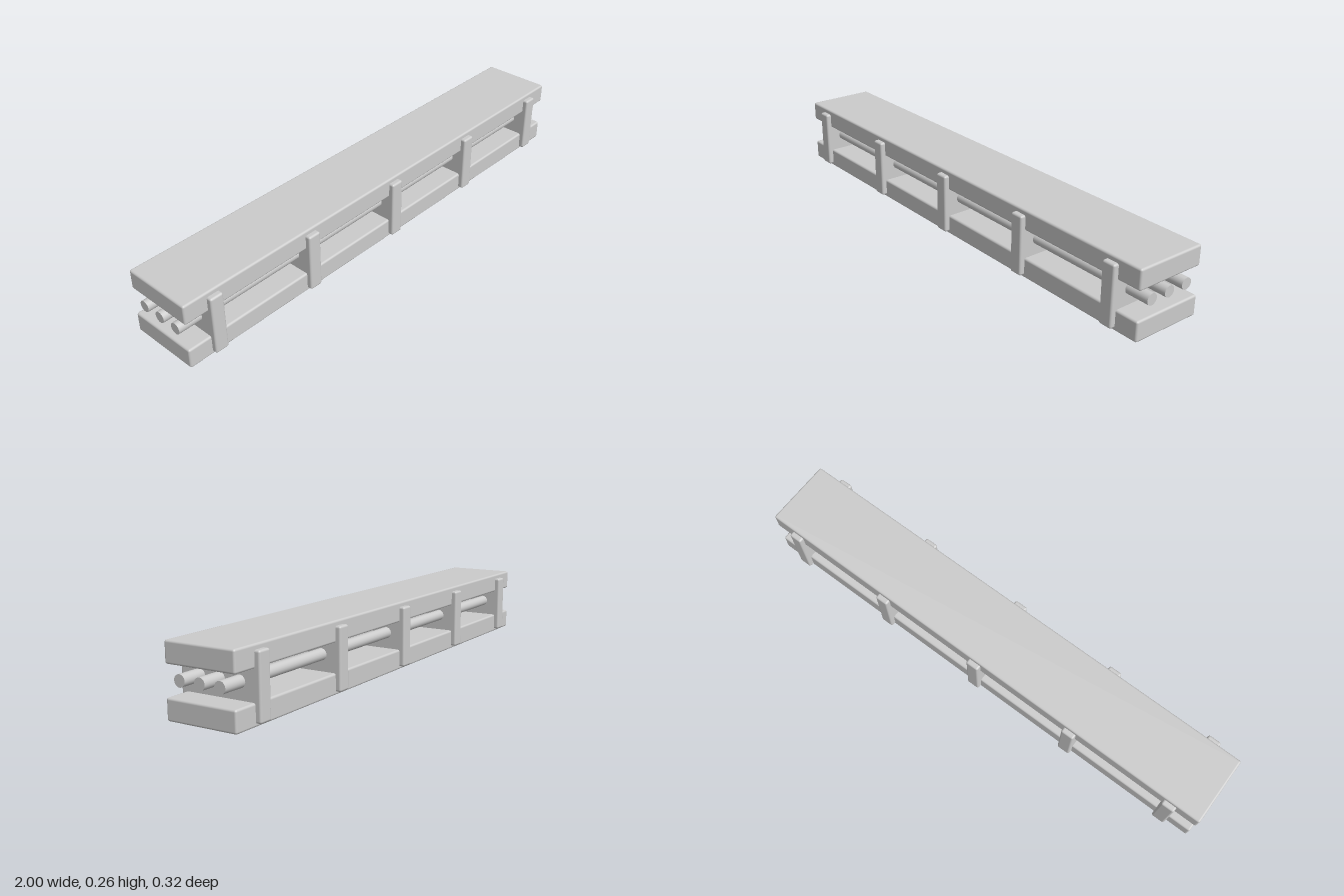
import * as THREE from 'three';
import { RoundedBoxGeometry } from 'three/addons/geometries/RoundedBoxGeometry.js';

export function createModel() {
  const group = new THREE.Group();
  const material = new THREE.MeshStandardMaterial({ color: 0xcccccc });

  const add = (name, geometry, x, y, z) => {
    const mesh = new THREE.Mesh(geometry, material);
    mesh.name = name;
    mesh.position.set(x, y, z);
    group.add(mesh);
    return mesh;
  };

  // two long planks with softened edges
  const plank = new RoundedBoxGeometry(2, 0.077, 0.278, 2, 0.008);
  add('bottomPlank', plank, 0, 0.0385, 0);
  add('topPlank', plank, 0, 0.2225, 0);

  // cross plates that hold the planks apart
  const plate = new RoundedBoxGeometry(0.054, 0.231, 0.318, 2, 0.008);
  for (let i = -2; i <= 2; i++) add('spacerPlate', plate, i * 0.44, 0.127, 0);

  // three rods running the full length through the plates
  const rod = new THREE.CylinderGeometry(0.0215, 0.0215, 2, 24);
  rod.rotateZ(Math.PI / 2);
  for (const z of [-0.08, 0, 0.08]) add('rod', rod, 0, 0.138, z);

  return group;
}
